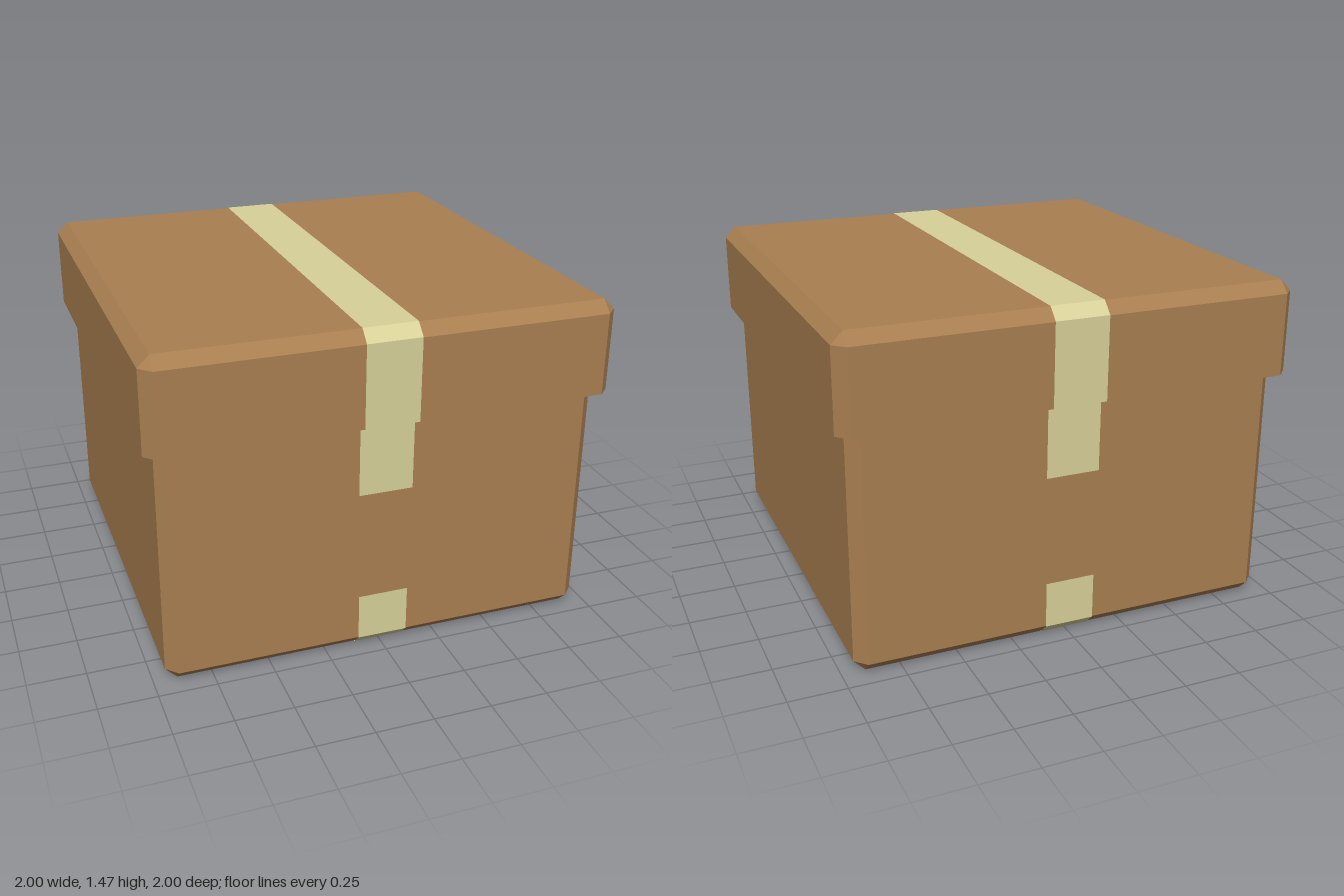
import * as THREE from 'three';

const E = 0.002; // tape thickness
const CHAMFER = 0.05;
const LID_BOTTOM = 1.06, LID_TOP = 1.47;

// Square cross-section with cut corners, counter-clockwise seen from above
function ring(half, cut, y) {
  const a = half - cut;
  return [[-a, half], [a, half], [half, a], [half, -a], [a, -half], [-a, -half], [-half, -a], [-half, a]]
    .map(([x, z]) => new THREE.Vector3(x, y, z));
}

// Closed flat-shaded solid through rings stacked from bottom to top
function stack(rings) {
  const points = [];
  const area = new THREE.Triangle();
  const tri = (a, b, c) => {
    if (area.set(a, b, c).getArea() > 1e-8) points.push(a, b, c);
  };
  for (let r = 0; r < rings.length - 1; r++) {
    const lo = rings[r], hi = rings[r + 1];
    for (let i = 0; i < 8; i++) {
      const j = (i + 1) % 8;
      tri(lo[i], lo[j], hi[j]);
      tri(lo[i], hi[j], hi[i]);
    }
  }
  const bottom = rings[0], top = rings[rings.length - 1];
  for (let i = 1; i < 7; i++) {
    tri(bottom[0], bottom[i + 1], bottom[i]);
    tri(top[0], top[i], top[i + 1]);
  }
  const geometry = new THREE.BufferGeometry().setFromPoints(points);
  geometry.computeVertexNormals();
  return geometry;
}

// Flat ribbon of the given half width following a [z, y] path
function ribbon(path, w) {
  const points = [];
  for (let i = 0; i < path.length - 1; i++) {
    const [z0, y0] = path[i], [z1, y1] = path[i + 1];
    const a = new THREE.Vector3(-w, y0, z0), b = new THREE.Vector3(w, y0, z0);
    const c = new THREE.Vector3(w, y1, z1), d = new THREE.Vector3(-w, y1, z1);
    points.push(a, b, c, a, c, d);
  }
  const geometry = new THREE.BufferGeometry().setFromPoints(points);
  geometry.computeVertexNormals();
  return geometry;
}

// Extends a front path with its mirror image at the back
const wrap = (path) => [...path, ...path.map(([z, y]) => [-z, y]).reverse()];

export function createModel() {
  const group = new THREE.Group();
  const cardboard = new THREE.MeshStandardMaterial({ color: 0xa97f50, flatShading: true });
  const tape = new THREE.MeshStandardMaterial({ color: 0xd8d199, flatShading: true, side: THREE.DoubleSide });
  const add = (name, geometry, material) => {
    const mesh = new THREE.Mesh(geometry, material);
    mesh.name = name;
    group.add(mesh);
    return mesh;
  };

  // Box body, bevelled along the bottom and the upright edges
  const body = 0.95 - E;
  add('boxBody', stack([
    ring(body - CHAMFER, 0, E),
    ring(body, CHAMFER, CHAMFER + E),
    ring(body, CHAMFER, LID_BOTTOM + 0.1),
  ]), cardboard);

  // Overhanging lid, bevelled along the top and the upright edges
  const lid = 1 - E;
  add('lid', stack([
    ring(lid, CHAMFER, LID_BOTTOM),
    ring(lid, CHAMFER, LID_TOP - CHAMFER - E),
    ring(lid - CHAMFER, 0, LID_TOP - E),
  ]), cardboard);

  // Tape over the lid, running front to back
  add('lidTape', ribbon(wrap([[1, LID_BOTTOM], [1, LID_TOP - CHAMFER], [0.95, LID_TOP]]), 0.118), tape);

  // Tape ends below the lid, front and back
  for (const [name, z] of [['frontTapeEnd', 0.95], ['backTapeEnd', -0.95]]) {
    add(name, ribbon([[z, 0.74], [z, LID_BOTTOM]], 0.118), tape);
  }

  // Tape under the box, turned up at both ends
  add('bottomTape', ribbon(wrap([[0.95, 0.255], [0.95, CHAMFER], [0.9, 0]]).reverse(), 0.11), tape);

  return group;
}
